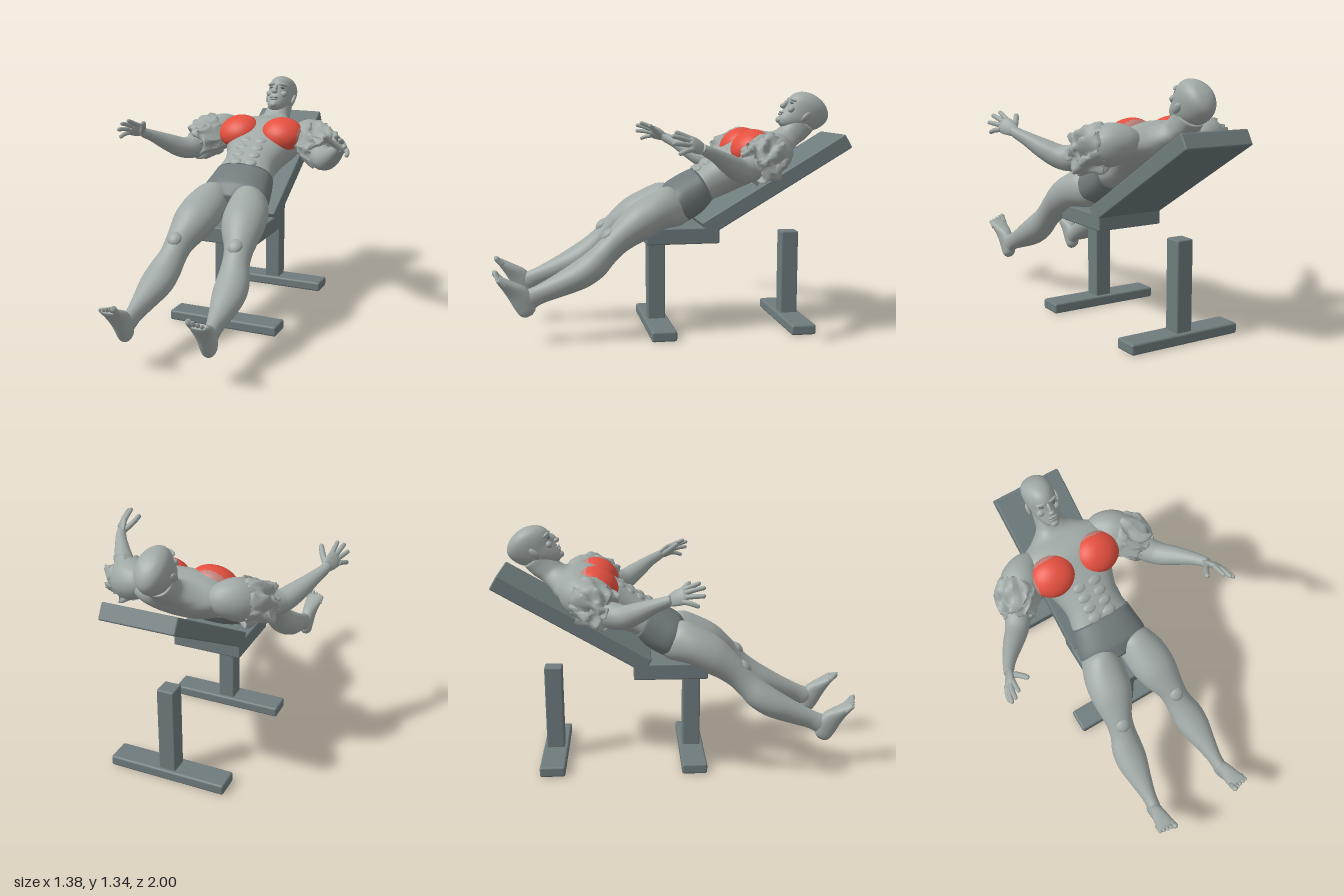
import * as THREE from 'three';
import { RoundedBoxGeometry } from 'three/addons/geometries/RoundedBoxGeometry.js';

const mat = (name, color, side = THREE.FrontSide) => {
  const m = new THREE.MeshStandardMaterial({ color, side });
  m.name = name;
  return m;
};
const V = (x, y, z) => new THREE.Vector3(x, y, z);

// Skin a list of rings (centre c, half axes a and b) running along the rings' centres
function skin(rings, n = 28, p = 1) {
  const pos = [], idx = [];
  const pw = (v) => Math.sign(v) * Math.abs(v) ** p;
  const d = rings[rings.length - 1].c.clone().sub(rings[0].c);
  rings.forEach(({ c, a, b, d: dir }) => {
    const flip = a.clone().cross(b).dot(dir || d) < 0 ? -1 : 1;
    for (let j = 0; j < n; j++) {
      const t = (j / n) * Math.PI * 2;
      const v = c.clone().addScaledVector(a, pw(Math.cos(t))).addScaledVector(b, flip * pw(Math.sin(t)));
      pos.push(v.x, v.y, v.z);
    }
  });
  const m = rings.length;
  for (let i = 0; i < m - 1; i++) for (let j = 0; j < n; j++) {
    const k = (j + 1) % n, A = i * n + j, B = i * n + k, C = A + n, D = B + n;
    idx.push(A, B, C, B, D, C);
  }
  pos.push(...rings[0].c.toArray(), ...rings[m - 1].c.toArray());
  for (let j = 0; j < n; j++) {
    const k = (j + 1) % n;
    idx.push(m * n, k, j, m * n + 1, (m - 1) * n + j, (m - 1) * n + k);
  }
  const g = new THREE.BufferGeometry();
  g.setAttribute('position', new THREE.Float32BufferAttribute(pos, 3));
  g.setIndex(idx);
  g.computeVertexNormals();
  return g;
}

// Body sections: [front z, front y, back z, back y, centre x, half width]
function loft(secs, s = 1, p = 1, steps = 5) {
  const curve = (f) => new THREE.CatmullRomCurve3(secs.map(f), false, 'catmullrom', 0.5);
  const F = curve((q) => V(q[4] * s, q[1], q[0]));
  const B = curve((q) => V(q[4] * s, q[3], q[2]));
  const W = curve((q) => V(q[5], 0, 0));
  const rings = [], N = (secs.length - 1) * steps;
  for (let i = 0; i <= N; i++) {
    const f = F.getPoint(i / N), b = B.getPoint(i / N);
    rings.push({ c: f.clone().add(b).multiplyScalar(0.5), a: V(W.getPoint(i / N).x, 0, 0), b: f.sub(b).multiplyScalar(0.5) });
  }
  return skin(rings, 36, p);
}

// Limb along points [x, y, z, radius]; flat squashes it across the given direction
function limb(pts, s = 1, wide = V(0, 1, 0), flat = 1, n = 18, steps = 6) {
  const P = new THREE.CatmullRomCurve3(pts.map((q) => V(q[0] * s, q[1], q[2])));
  const R = new THREE.CatmullRomCurve3(pts.map((q, i) => V(q[3], i * 0.05, 0)), false, 'catmullrom');
  const N = (pts.length - 1) * steps, rings = [];
  const w = V(wide.x * s, wide.y, wide.z);
  for (let i = 0; i <= N; i++) {
    const t = i / N, d = P.getTangent(t), r = Math.max(R.getPoint(t).x, 0.001);
    const b = d.clone().cross(w).normalize(), a = b.clone().cross(d).normalize();
    rings.push({ c: P.getPoint(t), a: a.multiplyScalar(r), b: b.multiplyScalar(r * flat), d });
  }
  return skin(rings, n);
}

export function createModel() {
  const root = new THREE.Group();
  const skinM = mat('grey skin', 0xa0a9a6), shortsM = mat('dark shorts', 0x717a7c);
  const benchM = mat('bench grey', 0x6e7b7d), redM = mat('muscle red', 0xe5503f);
  const fadeM = mat('faded red', 0xc08078), eyeM = mat('eye grey', 0x5d6465);
  const add = (name, geo, m, parent = root) => {
    const o = new THREE.Mesh(geo, m);
    o.name = name;
    parent.add(o);
    return o;
  };
  const ball = (name, m, c, r, rx = 0, parent = root) => {
    const o = add(name, new THREE.SphereGeometry(1, 24, 16), m, parent);
    o.position.set(...c);
    o.scale.set(...r);
    o.rotation.x = rx;
    return o;
  };
  const box = (name, w, h, d, x, y, z, r = 0.008) => {
    const o = add(name, new RoundedBoxGeometry(w, h, d, 2, r), benchM);
    o.position.set(x, y, z);
    return o;
  };

  // Bench
  box('seat', 0.4, 0.09, 0.41, 0, 0.555, -0.035);
  box('backPad', 0.4, 0.087, 0.95, 0, 0.829, -0.57).rotation.x = 0.532;
  box('frontPost', 0.094, 0.48, 0.1, 0, 0.28, 0.09);
  box('frontFoot', 0.66, 0.058, 0.14, 0, 0.029, 0.09, 0.012);
  box('rearPost', 0.094, 0.49, 0.1, 0, 0.295, -0.695);
  box('rearFoot', 0.66, 0.058, 0.14, 0, 0.029, -0.695, 0.012);

  // Torso and neck, from waist upward
  add('torso', loft([
    [-0.09, 0.885, -0.19, 0.71, 0, 0.178], [-0.13, 0.91, -0.23, 0.735, 0, 0.17],
    [-0.2, 0.96, -0.31, 0.765, 0, 0.158], [-0.28, 1.01, -0.4, 0.805, 0, 0.18],
    [-0.37, 1.065, -0.5, 0.85, 0, 0.228], [-0.46, 1.115, -0.58, 0.9, 0, 0.255],
    [-0.54, 1.12, -0.65, 0.955, 0, 0.235], [-0.59, 1.115, -0.69, 1.0, 0, 0.15],
    [-0.625, 1.13, -0.735, 1.04, 0, 0.09], [-0.66, 1.165, -0.78, 1.07, 0, 0.074],
    [-0.7, 1.21, -0.83, 1.12, 0, 0.068]], 1, 0.85), skinM);

  // Briefs
  add('shorts', loft([
    [-0.125, 0.91, -0.225, 0.73, 0, 0.176], [-0.06, 0.88, -0.16, 0.66, 0, 0.19],
    [0.01, 0.838, -0.065, 0.607, 0, 0.203], [0.035, 0.815, -0.04, 0.605, 0, 0.17],
    [0.075, 0.76, 0.01, 0.605, 0, 0.05]], 1, 0.85), shortsM);

  // Abdominal blocks in paired rows
  for (const s of [-1, 1]) for (let i = 0; i < 4; i++)
    ball('abdominal', skinM, [s * 0.043, 0.911 + i * 0.033, -0.147 - i * 0.052], [0.042, 0.018, 0.03], 0.53);

  // Chest muscles: red with faded upper and outer borders
  for (const s of [-1, 1]) {
    const g = new THREE.SphereGeometry(1, 48, 32);
    g.applyMatrix4(new THREE.Matrix4().compose(V(s * 0.138, 1.04, -0.425),
      new THREE.Quaternion().setFromEuler(new THREE.Euler(0.53, 0, s * -0.12)), V(0.128, 0.088, 0.115)));
    const q = g.attributes.position, ix = g.index.array, sets = [[], []];
    for (let i = 0; i < ix.length; i += 3) {
      const avg = (f) => (q[f](ix[i]) + q[f](ix[i + 1]) + q[f](ix[i + 2])) / 3;
      sets[avg('getZ') < -0.485 || Math.abs(avg('getX')) > 0.245 ? 1 : 0].push(ix[i], ix[i + 1], ix[i + 2]);
    }
    g.setIndex([...sets[0], ...sets[1]]);
    g.addGroup(0, sets[0].length, 0);
    g.addGroup(sets[0].length, sets[1].length, 1);
    add('chestMuscle', g, [redM, fadeM]);
  }

  // Head, tilted up with the face towards the front
  const head = new THREE.Group();
  head.name = 'head';
  head.position.set(0, 1.22, -0.765);
  head.rotation.x = -0.66;
  root.add(head);
  add('skull', loft([
    [0.06, -0.134, 0.03, -0.134, 0, 0.012], [0.085, -0.125, 0.0, -0.12, 0, 0.036],
    [0.098, -0.1, -0.04, -0.095, 0, 0.054], [0.1, -0.06, -0.09, -0.06, 0, 0.069],
    [0.102, -0.02, -0.125, -0.02, 0, 0.077], [0.112, 0.03, -0.143, 0.03, 0, 0.083],
    [0.1, 0.07, -0.14, 0.07, 0, 0.081], [0.07, 0.1, -0.115, 0.1, 0, 0.068],
    [0.03, 0.12, -0.075, 0.12, 0, 0.043], [-0.01, 0.127, -0.035, 0.127, 0, 0.01]]), skinM, head);
  ball('noseBridge', skinM, [0, -0.012, 0.106], [0.011, 0.036, 0.018], -0.25, head);
  ball('noseTip', skinM, [0, -0.038, 0.115], [0.019, 0.013, 0.017], 0, head);
  ball('upperLip', skinM, [0, -0.07, 0.1], [0.027, 0.007, 0.011], 0, head);
  ball('lowerLip', skinM, [0, -0.083, 0.098], [0.023, 0.008, 0.011], 0, head);
  ball('mouthLine', eyeM, [0, -0.0765, 0.1], [0.024, 0.002, 0.009], 0, head);
  ball('chin', skinM, [0, -0.113, 0.085], [0.025, 0.018, 0.018], 0, head);
  for (const s of [-1, 1]) {
    ball('brow', skinM, [s * 0.035, 0.021, 0.097], [0.03, 0.009, 0.014], 0, head).rotation.y = s * 0.4;
    ball('eye', eyeM, [s * 0.034, 0.002, 0.093], [0.015, 0.006, 0.007], 0, head).rotation.y = s * 0.4;
    ball('cheek', skinM, [s * 0.045, -0.03, 0.075], [0.023, 0.02, 0.018], 0, head);
    ball('ear', skinM, [s * 0.084, -0.015, -0.012], [0.012, 0.034, 0.02], -0.2, head).rotation.y = s * 0.4;
  }

  for (const s of [-1, 1]) {
    // Shoulder and ragged upper arm
    add('shoulder', limb([[0.17, 1.03, -0.57, 0.05], [0.23, 1.025, -0.55, 0.09], [0.29, 1.015, -0.51, 0.11],
      [0.34, 0.99, -0.46, 0.1], [0.37, 0.97, -0.41, 0.06]], s), skinM);
    const rag = limb([[0.3, 1.0, -0.5, 0.06], [0.315, 1.0, -0.485, 0.115], [0.345, 0.985, -0.45, 0.118],
      [0.375, 0.965, -0.4, 0.105], [0.4, 0.95, -0.365, 0.085], [0.41, 0.945, -0.35, 0.05]], s, V(0, 1, 0), 1, 40, 8);
    const q = rag.attributes.position;
    for (let i = 0; i < q.count; i++) {
      const x = Math.abs(q.getX(i)), y = q.getY(i), z = q.getZ(i);
      const w = 0.014 * Math.sin(71 * y + 43 * z) + 0.012 * Math.sin(97 * x - 83 * z + 2 * Math.sin(60 * y));
      q.setXYZ(i, s * (x + w * 0.9), y + 0.9 * w * Math.sign(y - 0.97), z + 0.011 * Math.sin(120 * y + 50 * x));
    }
    rag.computeVertexNormals();
    add('upperArm', rag, skinM);
    // Forearm and hand
    add('forearm', limb([[0.37, 0.965, -0.41, 0.06], [0.405, 0.94, -0.355, 0.07], [0.45, 0.937, -0.29, 0.063],
      [0.51, 0.975, -0.215, 0.053], [0.57, 1.025, -0.13, 0.036], [0.602, 1.052, -0.075, 0.029],
      [0.612, 1.065, -0.05, 0.025]], s), skinM);
    add('palm', limb([[0.597, 1.048, -0.085, 0.018], [0.607, 1.06, -0.06, 0.031], [0.622, 1.077, -0.025, 0.043],
      [0.636, 1.09, 0.008, 0.043], [0.64, 1.095, 0.022, 0.025]], s, V(0.5, -0.86, 0), 0.42), skinM);
    const fingers = [
      [[0.605, 1.06, -0.045], [0.57, 1.095, -0.005], [0.54, 1.138, 0.045]],
      [[0.615, 1.112, 0.0], [0.617, 1.132, 0.045], [0.618, 1.15, 0.09]],
      [[0.63, 1.1, 0.005], [0.643, 1.12, 0.06], [0.65, 1.133, 0.112]],
      [[0.643, 1.083, 0.005], [0.662, 1.092, 0.06], [0.675, 1.096, 0.11]],
      [[0.652, 1.065, 0.0], [0.672, 1.058, 0.04], [0.68, 1.043, 0.08]]];
    fingers.forEach(([a, b, c], i) => {
      const r = i ? 0.0125 : 0.0155;
      add(i ? 'finger' : 'thumb', limb([[...a, r * 1.1], [...b, r], [...c.map((v, k) => v * 0.85 + b[k] * 0.15), r * 0.85], [...c, 0.003]],
        s, V(0.5, -0.86, 0), 1, 10, 4), skinM);
    });

    // Leg from hip to ankle
    add('leg', loft([
      [-0.01, 0.81, -0.09, 0.64, 0.1, 0.085], [0.05, 0.822, -0.04, 0.607, 0.113, 0.106],
      [0.14, 0.785, 0.045, 0.59, 0.13, 0.122], [0.24, 0.73, 0.14, 0.545, 0.143, 0.122],
      [0.31, 0.665, 0.22, 0.51, 0.157, 0.103], [0.37, 0.6, 0.29, 0.47, 0.175, 0.08],
      [0.43, 0.535, 0.345, 0.42, 0.187, 0.076], [0.5, 0.478, 0.41, 0.35, 0.203, 0.089],
      [0.58, 0.425, 0.5, 0.295, 0.212, 0.089], [0.68, 0.365, 0.62, 0.255, 0.22, 0.064],
      [0.77, 0.318, 0.73, 0.222, 0.226, 0.042], [0.83, 0.295, 0.795, 0.19, 0.23, 0.038],
      [0.865, 0.285, 0.835, 0.2, 0.23, 0.025]], s), skinM);
    ball('kneecap', skinM, [s * 0.178, 0.575, 0.375], [0.042, 0.028, 0.045], 0.75);
    // Foot with five toes
    add('foot', loft([
      [0.79, 0.165, 0.83, 0.147, 0.235, 0.014], [0.775, 0.195, 0.856, 0.157, 0.235, 0.034],
      [0.78, 0.255, 0.885, 0.195, 0.235, 0.04], [0.825, 0.312, 0.915, 0.25, 0.237, 0.042],
      [0.89, 0.345, 0.945, 0.3, 0.24, 0.049], [0.945, 0.37, 0.97, 0.338, 0.245, 0.054],
      [0.96, 0.377, 0.977, 0.353, 0.246, 0.05]], s, 0.9), skinM);
    for (let i = 0; i < 5; i++) {
      const x = 0.203 + i * 0.0215, k = i * 0.005, r = i ? 0.0105 : 0.0155;
      add('toe', limb([[x, 0.35 - k, 0.95 - k, r], [x, 0.374 - k, 0.975 - k, r], [x, 0.39 - k * 1.5, 0.987 - k, r],
        [x, 0.401 - k * 1.6, 0.996 - k, 0.003]], s, V(1, 0, 0), 1, 10, 4), skinM);
    }
  }
  return root;
}
